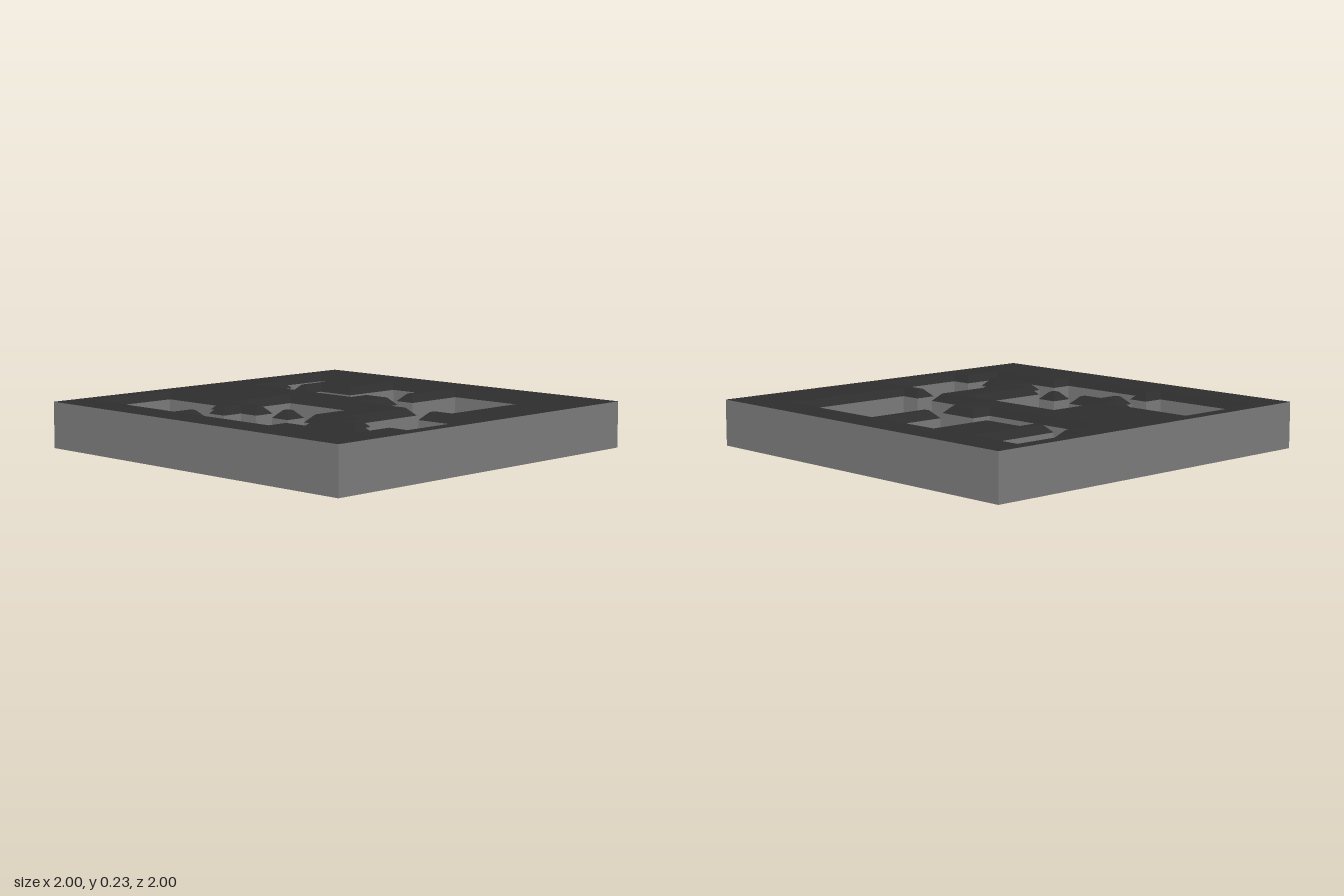
import * as THREE from 'three';

const CELL = 1 / 9;      // plan grid step
const BEVEL = 0.039;     // chamfer along the wall tops
const HEIGHT = 0.235;
const WALL = HEIGHT - BEVEL;

// Room outline as [x, z] corners in grid cells, floor on the inner side
const ROOM = [
  [-8, -7], [-6, -7], [-6, -3], [-5, -3], [-5, -4], [-3, -4], [-3, -7], [0, -7], [0, -4], [1, -4],
  [1, -7], [6, -7], [6, -1], [5, -1], [5, 0], [8, 0], [8, 4], [7, 4], [7, 6], [3, 6],
  [3, 7], [-2, 7], [-2, 6], [-3, 6], [-3, 7], [-8, 7], [-8, 3], [-4, 3], [-4, 4], [-3, 4],
  [-3, 5], [-2, 5], [-2, 4], [-1, 4], [-1, 3], [-3, 3], [-3, 0], [2, 0], [2, 4], [3, 4],
  [3, 5], [6, 5], [6, 4], [5, 4], [5, 3], [4, 3], [4, -1], [1, -1], [1, -3], [-1, -3],
  [-1, -2], [-7, -2], [-7, -4], [-8, -4],
];
// Loops running the other way have their faces outside
const PILLAR = [[1, 3], [0, 3], [0, 4], [1, 4]];
const BORDER = [[9, -9], [-9, -9], [-9, 9], [9, 9]];

const scaled = (loop) => loop.map(([x, z]) => [x * CELL, z * CELL]);

// Push each corner into the wall, away from the floor
function inset(loop, d) {
  const n = loop.length;
  const away = (a, b) => [Math.sign(b[1] - a[1]), -Math.sign(b[0] - a[0])];
  return loop.map((p, i) => {
    const u = away(loop[(i + n - 1) % n], p);
    const v = away(p, loop[(i + 1) % n]);
    return [p[0] + d * (u[0] + v[0]), p[1] + d * (u[1] + v[1])];
  });
}

// Band of flat quads between a lower and an upper loop
function band(lower, upper, y0, y1) {
  const pos = [];
  lower.forEach((p, i) => {
    const j = (i + 1) % lower.length;
    const a = [p[0], y0, p[1]];
    const b = [lower[j][0], y0, lower[j][1]];
    const c = [upper[j][0], y1, upper[j][1]];
    const d = [upper[i][0], y1, upper[i][1]];
    pos.push(...a, ...b, ...c, ...a, ...c, ...d);
  });
  const geo = new THREE.BufferGeometry();
  geo.setAttribute('position', new THREE.Float32BufferAttribute(pos, 3));
  geo.computeVertexNormals();
  return geo;
}

// Horizontal face with an optional hole
function plate(loop, hole, y) {
  const points = (l) => l.map(([x, z]) => new THREE.Vector2(x, -z));
  const shape = new THREE.Shape(points(loop));
  if (hole) shape.holes.push(new THREE.Path(points(hole)));
  return new THREE.ShapeGeometry(shape).rotateX(-Math.PI / 2).translate(0, y, 0);
}

export function createModel() {
  const group = new THREE.Group();
  const material = (name, color) => {
    const m = new THREE.MeshStandardMaterial({ color, side: THREE.DoubleSide });
    m.name = name;
    return m;
  };
  const stone = material('wall grey', 0x808080);
  const dark = material('wall top charcoal', 0x2e2e2e);
  const light = material('floor light grey', 0xcacaca);

  const add = (name, geo, mat) => {
    const mesh = new THREE.Mesh(geo, mat);
    mesh.name = name;
    group.add(mesh);
  };

  const room = scaled(ROOM);
  const pillar = scaled(PILLAR);
  const border = scaled(BORDER);
  const roomTop = inset(room, BEVEL);
  const pillarTop = inset(pillar, BEVEL);

  add('floor', plate(room, pillar, 0), light);

  // Upright faces
  add('outerWall', band(border, border, 0, HEIGHT), stone);
  add('roomWall', band(room, room, 0, WALL), stone);
  add('pillarWall', band(pillar, pillar, 0, WALL), stone);

  // Chamfers and flat tops
  add('roomBevel', band(room, roomTop, WALL, HEIGHT), dark);
  add('pillarBevel', band(pillar, pillarTop, WALL, HEIGHT), dark);
  add('wallTop', plate(border, roomTop, HEIGHT), dark);
  add('pillarTop', plate(pillarTop, null, HEIGHT), dark);

  return group;
}
